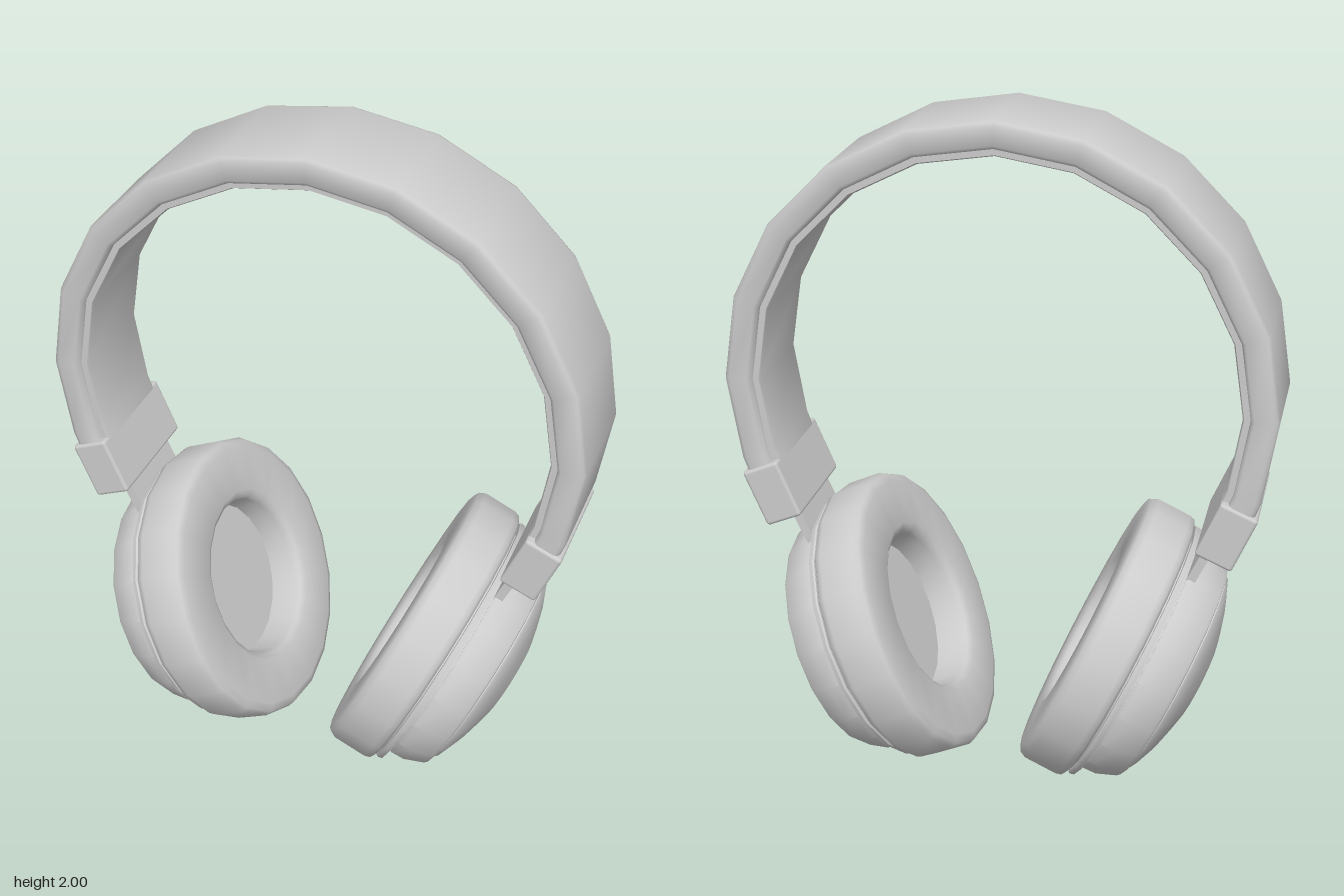
import * as THREE from 'three';
import { toCreasedNormals } from 'three/addons/utils/BufferGeometryUtils.js';
import { RoundedBoxGeometry } from 'three/addons/geometries/RoundedBoxGeometry.js';

const material = new THREE.MeshStandardMaterial({ color: 0xcccccc });
const SIDES = 20;
const TILT = THREE.MathUtils.degToRad(24.7);

function addMesh(parent, name, geometry) {
  const mesh = new THREE.Mesh(geometry, material);
  mesh.name = name;
  parent.add(mesh);
  return mesh;
}

// Turned part from [radius, height] pairs
function turned(profile, crease = 0.6) {
  const points = profile.map(([r, y]) => new THREE.Vector2(r, y));
  return toCreasedNormals(new THREE.LatheGeometry(points, SIDES), crease);
}

// Sweeps a closed [radius, z] section around an arc in the front plane
function arcSweep(section, angles, centreY) {
  const positions = [], index = [], n = section.length;
  angles.forEach((t, i) => {
    section.forEach(([r, z], j) => {
      positions.push(r * Math.sin(t), centreY + r * Math.cos(t), z);
      if (i === angles.length - 1) return;
      const a = i * n + j, b = i * n + (j + 1) % n;
      index.push(a, b, b + n, a, b + n, a + n);
    });
  });
  const geometry = new THREE.BufferGeometry();
  geometry.setAttribute('position', new THREE.Float32BufferAttribute(positions, 3));
  geometry.setIndex(index);
  return toCreasedNormals(geometry, 0.9);
}

function createHeadband() {
  // Bevelled outer shell with a narrower inner lining
  const half = [[0.79, 0.155], [0.785, 0.167], [0.773, 0.173], [0.722, 0.173],
    [0.712, 0.165], [0.71, 0.152], [0.692, 0.152], [0.688, 0.145]];
  const section = [...half, ...half.map(([r, z]) => [r, -z]).reverse()];
  const angles = [-112];
  for (let d = -108; d <= 108; d += 18) angles.push(d);
  angles.push(112);
  return arcSweep(section, angles.map(THREE.MathUtils.degToRad), 1.21);
}

function createEarpiece(name) {
  const side = new THREE.Group();
  side.name = name;

  // Block at the end of the headband
  const block = addMesh(side, 'sliderBlock', new RoundedBoxGeometry(0.115, 0.178, 0.36, 2, 0.01));
  block.position.set(0.662, 0.862, 0);
  block.rotation.z = -0.4;

  // Cup: local y points outward from the ear, local -x points up the tilt
  const cup = new THREE.Group();
  cup.name = 'earCup';
  cup.position.set(0.233, 0.4525, 0);
  cup.rotation.z = -Math.PI / 2 - TILT;
  side.add(cup);

  const stem = addMesh(cup, 'sliderStem', new THREE.BoxGeometry(0.24, 0.026, 0.255));
  stem.position.set(-0.41, 0.2, 0);

  // Soft ring with a sunken centre
  addMesh(cup, 'cushion', turned([
    [0, 0.11], [0.235, 0.11], [0.24, 0.03], [0.248, 0.012], [0.268, 0],
    [0.4, 0], [0.424, 0.008], [0.434, 0.028], [0.434, 0.13], [0.429, 0.147], [0.415, 0.156], [0, 0.156],
  ], 0.9));

  // Thin plate behind the cushion, with a groove either side
  addMesh(cup, 'backPlate', turned([
    [0.395, 0.15], [0.395, 0.162], [0.412, 0.162], [0.415, 0.167], [0.412, 0.18], [0.375, 0.183], [0.375, 0.195],
  ]));

  addMesh(cup, 'shell', turned([
    [0, 0.188], [0.378, 0.188], [0.382, 0.195], [0.38, 0.235],
    [0.357, 0.292], [0.35, 0.301], [0.336, 0.304], [0.33, 0.295], [0, 0.295],
  ]));

  // Shallow dome with a recess for the button
  addMesh(cup, 'cap', turned([
    [0.327, 0.29], [0.325, 0.309], [0.316, 0.319], [0.25, 0.347], [0.18, 0.368],
    [0.138, 0.379], [0.13, 0.376], [0.126, 0.364], [0, 0.364],
  ]));
  addMesh(cup, 'button', turned([[0.121, 0.36], [0.121, 0.377], [0.116, 0.382], [0, 0.382]]));
  return side;
}

export function createModel() {
  const model = new THREE.Group();
  model.name = 'headphones';
  addMesh(model, 'headband', createHeadband());
  model.add(createEarpiece('leftEarpiece'));

  // Each side is symmetric in z, so a half turn mirrors it
  const right = createEarpiece('rightEarpiece');
  right.rotation.y = Math.PI;
  model.add(right);
  return model;
}
